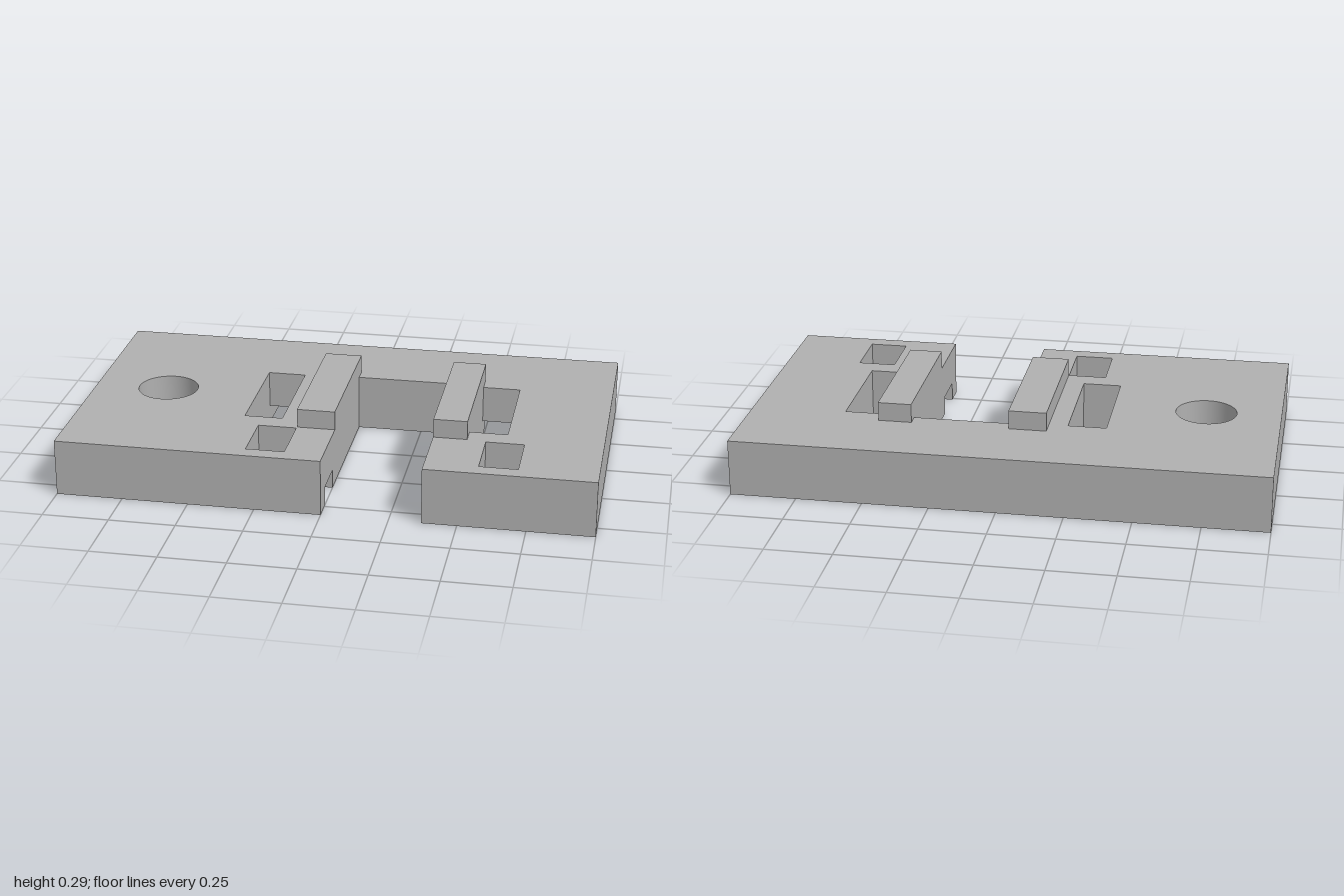
import * as THREE from 'three';
import { toCreasedNormals } from 'three/addons/utils/BufferGeometryUtils.js';

const X = 1, Z = 0.572;          // half width and half depth of the plate
const STEP = 0.072, TOP = 0.215; // channel depth and plate thickness
const RIDGE_TOP = 0.287;

// Plan points are [x, z]; shapes are drawn in x, -z and then laid flat.
const toPoints = (list) => list.map(([x, z]) => new THREE.Vector2(x, -z));
const rect = (x0, x1, z0, z1) => [[x0, z0], [x1, z0], [x1, z1], [x0, z1]];

function slab(outline, holes, y0, y1) {
  const shape = new THREE.Shape(toPoints(outline));
  for (const h of holes) shape.holes.push(new THREE.Path(toPoints(h)));
  // round screw hole through every layer
  shape.holes.push(new THREE.Path().absarc(-0.715, 0, 0.116, 0, Math.PI * 2, true));
  const geo = new THREE.ExtrudeGeometry(shape, { depth: y1 - y0, bevelEnabled: false, curveSegments: 32 });
  geo.rotateX(-Math.PI / 2);
  geo.translate(0, y0, 0);
  return toCreasedNormals(geo, 0.5);
}

// Plate outline with the front slot; the two extras replace the slot's side walls.
const plateOutline = (leftWall = [], rightWall = []) => [
  [-X, -Z], [-X, Z], [0, Z], ...rightWall, [0, -0.235],
  [0.37, -0.235], ...leftWall, [0.37, Z], [X, Z], [X, -Z],
];

// Keyhole pocket from the slot wall to a small window, listed front to back
const pocket = (wall, near, far) => [
  [wall, 0.487], [near, 0.487], [near, 0.512], [far, 0.512],
  [far, 0.295], [near, 0.295], [near, 0.337], [wall, 0.337],
];

export function createModel() {
  const group = new THREE.Group();
  const grey = new THREE.MeshStandardMaterial({ color: 0xb0b0b0 });
  grey.name = 'plain grey';
  const add = (name, geo) => {
    const mesh = new THREE.Mesh(geo, grey);
    mesh.name = name;
    group.add(mesh);
    return mesh;
  };

  // Lower layer: U-shaped channel around the slot, pockets open to the slot
  const channel = [
    [-0.36, -0.433], [0.64, -0.433], [0.64, 0.215], [0.497, 0.215],
    [0.497, -0.288], [-0.215, -0.288], [-0.215, 0.215], [-0.36, 0.215],
  ];
  const lower = plateOutline(pocket(0.37, 0.567, 0.71).reverse(), pocket(0, -0.145, -0.29));
  add('lowerPlate', slab(lower, [channel], 0, STEP));

  // Upper layer: four rectangular windows
  const windows = [
    rect(-0.36, -0.215, -0.22, 0.215),
    rect(0.497, 0.64, -0.22, 0.215),
    rect(-0.29, -0.145, 0.295, 0.512),
    rect(0.567, 0.71, 0.295, 0.512),
  ];
  add('upperPlate', slab(plateOutline(), windows, STEP, TOP));

  // Raised rails either side of the slot
  for (const [name, x0, x1] of [['rightRail', -0.143, 0], ['leftRail', 0.37, 0.497]]) {
    const rail = add(name, new THREE.BoxGeometry(x1 - x0, RIDGE_TOP - TOP, 0.572));
    rail.position.set((x0 + x1) / 2, (RIDGE_TOP + TOP) / 2, 0);
  }
  return group;
}
